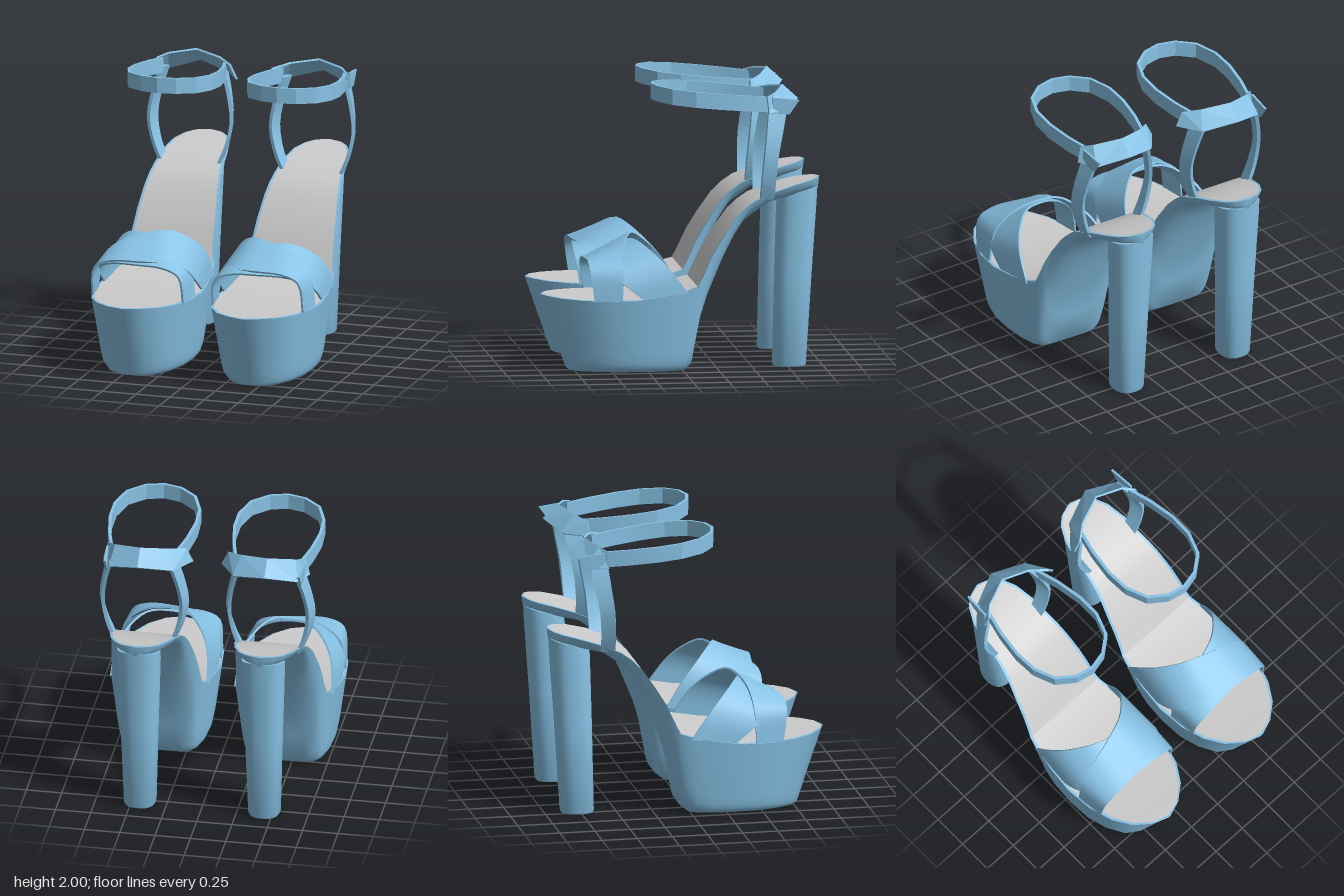
import * as THREE from 'three';
import { toCreasedNormals } from 'three/addons/utils/BufferGeometryUtils.js';

const leather = new THREE.MeshStandardMaterial({ color: 0x88c3e6, side: THREE.DoubleSide });
const lining = new THREE.MeshStandardMaterial({ color: 0xcccccc, side: THREE.DoubleSide });
const V = (x, y, z) => new THREE.Vector3(x, y, z);
const lerp = THREE.MathUtils.lerp;
const flip = pts => pts.map(([x, y, z]) => [-x, y, z]);

// Skin over a list of rings with equal point counts
function loft(rings, closed = true) {
  const n = rings[0].length, pos = [], idx = [];
  rings.forEach(r => r.forEach(p => pos.push(p.x, p.y, p.z)));
  for (let i = 0; i < rings.length - 1; i++) {
    for (let j = 0; j < (closed ? n : n - 1); j++) {
      const k = (j + 1) % n, a = i * n + j, b = i * n + k;
      idx.push(a, b, a + n, b, b + n, a + n);
    }
  }
  if (closed) {
    const e = (rings.length - 1) * n;
    for (let j = 1; j < n - 1; j++) idx.push(0, j + 1, j, e, e + j, e + j + 1);
  }
  const g = new THREE.BufferGeometry();
  g.setAttribute('position', new THREE.Float32BufferAttribute(pos, 3));
  g.setIndex(idx);
  return g;
}

// Flat strap between two edge curves, with thickness
function ribbon(edgeA, edgeB, thick = 0.02, samples = 28) {
  const line = e => {
    const pts = e.map(p => V(...p));
    return samples ? new THREE.CatmullRomCurve3(pts).getPoints(samples) : pts;
  };
  const A = line(edgeA), B = line(edgeB), last = A.length - 1;
  return loft(A.map((a, i) => {
    const t = A[Math.min(i + 1, last)].clone().sub(A[Math.max(i - 1, 0)]);
    const off = t.cross(B[i].clone().sub(a)).normalize().multiplyScalar(thick);
    return [a, B[i], B[i].clone().add(off), a.clone().add(off)];
  }));
}

// Sole stations from toe to heel:
// top z, top y, top half width, bottom z, bottom y, bottom half width, squareness
const stations = [
  [0.98, 0.53, 0.01, 0.80, 0.01, 0.01, 12],
  [0.94, 0.53, 0.12, 0.775, 0, 0.10, 14],
  [0.85, 0.525, 0.23, 0.72, 0, 0.19, 14],
  [0.72, 0.52, 0.31, 0.60, 0, 0.26, 14],
  [0.55, 0.515, 0.36, 0.46, 0, 0.30, 14],
  [0.35, 0.52, 0.38, 0.30, 0, 0.31, 14],
  [0.15, 0.545, 0.365, 0.14, 0, 0.30, 14],
  [0.00, 0.575, 0.345, 0.04, 0, 0.28, 12],
  [-0.09, 0.60, 0.325, -0.01, 0, 0.26, 9],
  [-0.13, 0.68, 0.315, -0.055, 0.03, 0.24, 6],
  [-0.19, 0.81, 0.305, -0.09, 0.25, 0.235, 4],
  [-0.26, 0.925, 0.295, -0.15, 0.45, 0.23, 3.2],
  [-0.36, 1.07, 0.275, -0.25, 0.70, 0.22, 3],
  [-0.43, 1.14, 0.262, -0.325, 0.87, 0.215, 3],
  [-0.50, 1.19, 0.25, -0.41, 1.02, 0.21, 3],
  [-0.66, 1.255, 0.235, -0.60, 1.16, 0.20, 3],
  [-0.80, 1.295, 0.205, -0.78, 1.20, 0.175, 3],
  [-0.90, 1.315, 0.155, -0.89, 1.23, 0.13, 3],
  [-0.95, 1.325, 0.10, -0.94, 1.24, 0.08, 3],
  [-0.98, 1.33, 0.01, -0.97, 1.25, 0.01, 3],
];

function soleGeometry() {
  const N = 24;
  return loft(stations.map(([zt, yt, wt, zb, yb, wb, e]) =>
    Array.from({ length: N + 1 }, (_, j) => {
      const a = Math.PI * j / N, c = Math.cos(a);
      const d = Math.pow(Math.abs(Math.sin(a)), 2 / e) * (j % N ? 1 : 0);
      const x = Math.sign(c) * Math.pow(Math.abs(c), 2 / e);
      return V(x * lerp(wt, wb, d), lerp(yt, yb, d), lerp(zt, zb, d));
    })));
}

function insoleGeometry() {
  return loft(stations.map(([z, y, w]) => {
    const hw = Math.max(w - 0.018, 0.002), zz = THREE.MathUtils.clamp(z, -0.967, 0.965);
    return [V(-hw, y + 0.004, zz), V(hw, y + 0.004, zz)];
  }), false);
}

// Tapered column with a slanted top: y, front z, back z, half width, slant
function heelGeometry() {
  const levels = [[0, -0.655, -0.88, 0.105, 0], [0.012, -0.65, -0.885, 0.112, 0],
    [0.65, -0.665, -0.925, 0.132, 0], [1.15, -0.68, -0.96, 0.15, 0.1], [1.235, -0.69, -0.965, 0.15, 0.22]];
  return loft(levels.map(([y, zf, zb, w, slant]) => Array.from({ length: 28 }, (_, j) => {
    const a = j / 28 * Math.PI * 2, p = v => Math.sign(v) * Math.pow(Math.abs(v), 0.8);
    const dz = -p(Math.sin(a)) * (zf - zb) / 2;
    return V(p(Math.cos(a)) * w, y - dz * slant, (zf + zb) / 2 + dz);
  })));
}

// Toe band from the outer back to the inner front
const bandBack = [[0.335, 0.56, -0.02], [0.315, 0.72, 0.1], [0.26, 0.82, 0.2], [0.14, 0.905, 0.31],
  [0, 0.90, 0.365], [-0.18, 0.84, 0.41], [-0.31, 0.72, 0.43], [-0.35, 0.51, 0.44]];
const bandFront = [[0.35, 0.52, 0.29], [0.345, 0.62, 0.42], [0.30, 0.70, 0.53], [0.18, 0.745, 0.61],
  [0, 0.755, 0.645], [-0.19, 0.75, 0.665], [-0.30, 0.70, 0.665], [-0.325, 0.51, 0.635]];
const lift = pts => pts.map(([x, y, z]) => [x, y + (y > 0.65 ? 0.024 : 0), z]);

// Ankle loop and its wide rear piece
const half = [[0.24, -0.62], [0.285, -0.45], [0.315, -0.25], [0.31, -0.08], [0.25, 0.08], [0.13, 0.175]];
const loop = [...half, [0, 0.205], ...half.map(([x, z]) => [-x, z]).reverse()];
const loopEdge = y => loop.map(([x, z]) => [x, y + (z + 0.6) * 0.095, z]);
const rearTop = [[0.25, 1.925, -0.58], [0.19, 1.945, -0.64], [0.01, 1.97, -0.71],
  [-0.18, 1.945, -0.64], [-0.28, 1.92, -0.56]];
const rearLow = [[0.28, 1.81, -0.59], [0.22, 1.815, -0.73], [0.01, 1.87, -0.82],
  [-0.22, 1.82, -0.73], [-0.33, 1.82, -0.56]];

// Upright side straps
const legFront = [[0.215, 1.19, -0.54], [0.27, 1.32, -0.545], [0.31, 1.5, -0.56], [0.285, 1.68, -0.58], [0.235, 1.86, -0.6]];
const legBack = [[0.205, 1.2, -0.64], [0.25, 1.32, -0.645], [0.28, 1.5, -0.66], [0.26, 1.68, -0.695], [0.215, 1.85, -0.73]];
const spread = pts => pts.map(([x, y, z]) => [x + 0.015, y, z]);

function createShoe(side) {
  const shoe = new THREE.Group();
  const add = (name, geo, mat = leather, crease = 0.6) => {
    // Mirror the geometry for the other foot and restore its winding
    if (side < 0) {
      geo.scale(-1, 1, 1);
      geo.setIndex(Array.from(geo.index.array).reverse());
    }
    const mesh = new THREE.Mesh(toCreasedNormals(geo, crease), mat);
    mesh.name = name;
    shoe.add(mesh);
  };
  add('platformSole', soleGeometry(), leather, 0.85);
  add('insole', insoleGeometry(), lining);
  add('heel', heelGeometry());
  add('lowerToeBand', ribbon(bandBack, bandFront, 0.014));
  add('upperToeBand', ribbon(lift(flip(bandFront)), lift(flip(bandBack)), 0.014));
  add('ankleLoop', ribbon(loopEdge(1.815), loopEdge(1.925), 0.022, 0), leather, 0.2);
  add('rearAnkleBand', ribbon(rearLow, rearTop, 0.015, 0), leather, 0.1);
  add('strapTail', ribbon([[0.25, 1.81, -0.62], [0.24, 1.8, -0.74]],
    [[0.25, 1.92, -0.62], [0.24, 1.9, -0.81]], 0.015, 0));
  add('outerSideStrap', ribbon(spread(legFront), spread(legBack), 0.025, 10));
  add('innerSideStrap', ribbon(flip(legBack), flip(legFront), 0.025, 10));
  shoe.position.x = 0.44 * side;
  return shoe;
}

export function createModel() {
  const model = new THREE.Group();
  model.name = 'platformSandals';
  for (const [side, name] of [[1, 'leftSandal'], [-1, 'rightSandal']]) {
    const shoe = createShoe(side);
    shoe.name = name;
    model.add(shoe);
  }
  return model;
}
